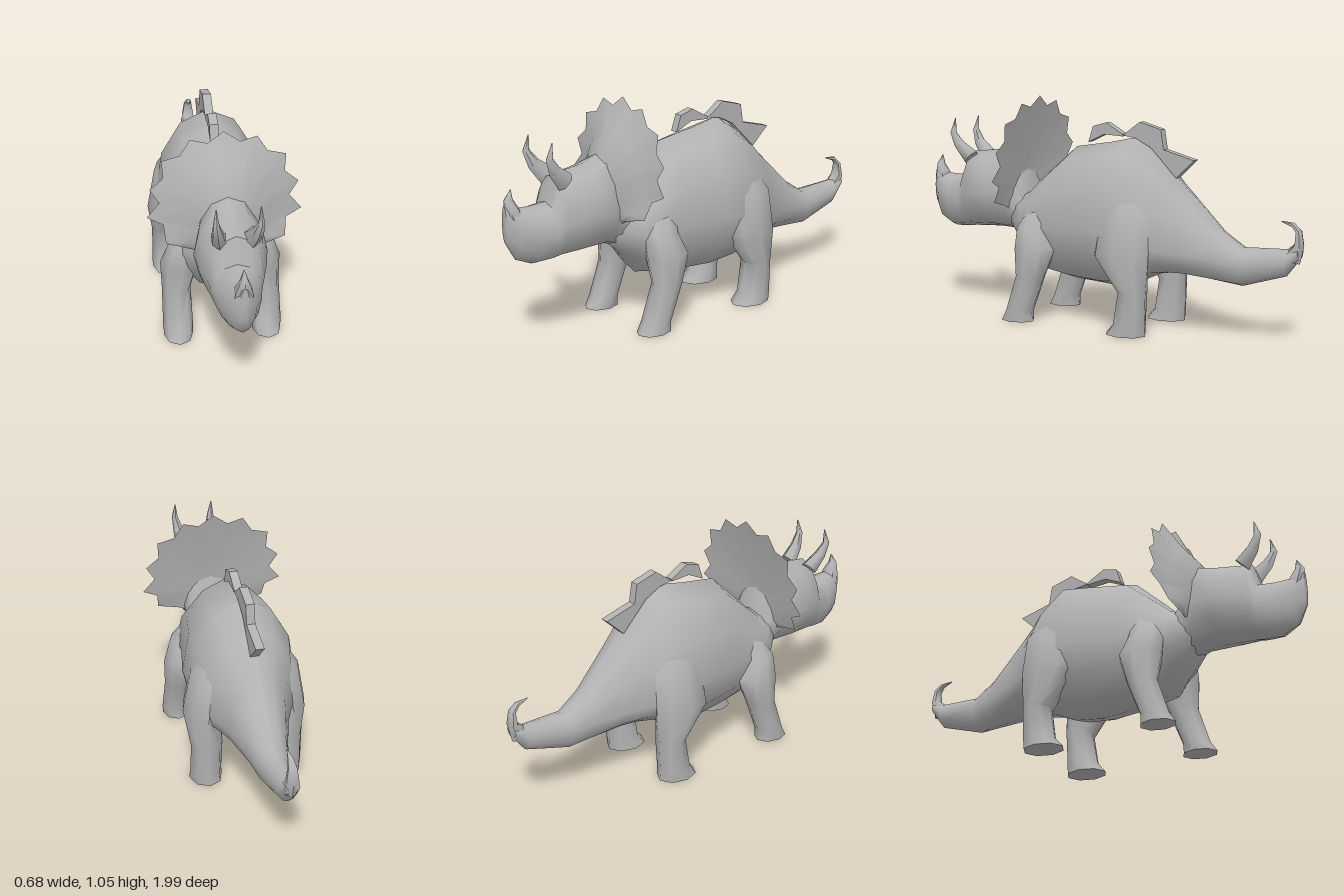
import * as THREE from 'three';
import { toCreasedNormals } from 'three/addons/utils/BufferGeometryUtils.js';

const hide = new THREE.MeshStandardMaterial({ color: 0xb2b2b2, side: THREE.DoubleSide });
hide.name = 'grey hide';

// Skin a closed surface over rings of [x, y, z] points, capping both ends
function loft(rings, crease = 1.0) {
  const n = rings[0].length, pts = rings.flat(), idx = [];
  const centre = ring => [0, 1, 2].map(k => ring.reduce((s, p) => s + p[k], 0) / n);
  const last = (rings.length - 1) * n, a = pts.length;
  pts.push(centre(rings[0]), centre(rings[rings.length - 1]));
  for (let j = 0; j < n; j++) {
    const k = (j + 1) % n;
    for (let i = 0; i < last; i += n) idx.push(i + j, i + k, i + n + j, i + k, i + n + k, i + n + j);
    idx.push(a, k, j, a + 1, last + j, last + k);
  }
  // Face outwards whichever way the rings were listed
  let volume = 0;
  const v = i => new THREE.Vector3(...pts[i]);
  for (let i = 0; i < idx.length; i += 3) volume += v(idx[i]).dot(v(idx[i + 1]).cross(v(idx[i + 2])));
  if (volume < 0) idx.reverse();
  const geo = new THREE.BufferGeometry();
  geo.setAttribute('position', new THREE.Float32BufferAttribute(pts.flat(), 3));
  geo.setIndex(idx);
  return toCreasedNormals(geo, crease);
}

const circle = (n, f) => Array.from({ length: n }, (_, i) => {
  const a = (i / n) * Math.PI * 2;
  return f(Math.sin(a), Math.cos(a));
});

// Upright section: z, bottom, top, half width, height of the widest point
const section = ([z, bottom, top, w, mid]) => circle(12, (s, c) =>
  [w * s, mid + c * (c > 0 ? top - mid : mid - bottom), z]);

// Level section for limbs: y, centre x, centre z, radius x, radius z
const limb = (side, rows) => loft(rows.map(([y, x, z, rx, rz]) =>
  circle(8, (s, c) => [side * (x + rx * s), y, z + rz * c])));

// Tapering horn: rows of x, y, z, half width, half thickness across the path
function horn(side, rows) {
  return loft(rows.map(([x, y, z, w, t], i) => {
    const p = rows[Math.max(i - 1, 0)], q = rows[Math.min(i + 1, rows.length - 1)];
    const dy = q[1] - p[1], dz = q[2] - p[2], l = Math.hypot(dy, dz);
    return circle(6, (s, c) => [side * (x + w * s), y - t * c * dz / l, z + t * c * dy / l]);
  }));
}

export function createModel() {
  const model = new THREE.Group();
  const add = (name, geo) => {
    const mesh = new THREE.Mesh(geo, hide);
    mesh.name = name;
    model.add(mesh);
  };

  // Body, running into the tail
  add('bodyAndTail', loft([
    [0.48, 0.40, 0.58, 0.10, 0.48],
    [0.38, 0.31, 0.61, 0.18, 0.45],
    [0.32, 0.22, 0.67, 0.20, 0.45],
    [0.16, 0.19, 0.82, 0.212, 0.46],
    [-0.03, 0.18, 0.85, 0.25, 0.47],
    [-0.17, 0.20, 0.88, 0.252, 0.45],
    [-0.30, 0.26, 0.785, 0.22, 0.41],
    [-0.37, 0.27, 0.715, 0.175, 0.39],
    [-0.45, 0.27, 0.64, 0.14, 0.38],
    [-0.60, 0.255, 0.49, 0.095, 0.36],
    [-0.71, 0.245, 0.42, 0.072, 0.34],
    [-0.92, 0.31, 0.43, 0.045, 0.37],
    [-0.98, 0.39, 0.44, 0.034, 0.42],
  ].map(section)));

  // Upturned tip of the tail
  add('tailHook', horn(1, [
    [0, 0.39, -0.94, 0.035, 0.045],
    [0, 0.45, -0.975, 0.032, 0.023],
    [0, 0.51, -0.972, 0.022, 0.014],
    [0, 0.538, -0.945, 0.014, 0.011],
    [0, 0.55, -0.89, 0.002, 0.002],
  ]));

  // Head with a stepped brow and a beaked snout
  add('head', loft([
    [0.40, 0.36, 0.62, 0.12, 0.48],
    [0.50, 0.40, 0.82, 0.135, 0.58],
    [0.59, 0.405, 0.785, 0.16, 0.58],
    [0.67, 0.40, 0.775, 0.145, 0.57],
    [0.755, 0.395, 0.765, 0.122, 0.56],
    [0.79, 0.39, 0.65, 0.106, 0.52],
    [0.87, 0.385, 0.645, 0.09, 0.52],
    [0.95, 0.42, 0.65, 0.058, 0.55],
    [0.995, 0.50, 0.67, 0.02, 0.58],
  ].map(section)));

  add('noseHorn', horn(1, [
    [0, 0.53, 0.93, 0.05, 0.03],
    [0, 0.635, 0.957, 0.042, 0.038],
    [0, 0.69, 0.972, 0.02, 0.022],
    [0, 0.735, 0.96, 0.002, 0.002],
  ]));

  // Frill: scalloped rim, flared front and hollow back, sweeping forward at the cheeks
  const half = [[0, 1.05], [0.07, 1.0], [0.145, 1.02], [0.19, 0.95], [0.27, 0.93], [0.265, 0.85],
    [0.325, 0.80], [0.285, 0.735], [0.34, 0.67], [0.27, 0.635], [0.262, 0.56], [0.15, 0.53], [0, 0.47]];
  const outline = [...half, ...half.slice(1, -1).reverse().map(([x, y]) => [-x, y])];
  const rim = outline.map(([x, y]) => [x, y, 0.37 + 0.1 * (1.05 - y) + 0.35 * Math.max(0, 0.66 - y)]);
  // Rings around the head, keeping to the rim's directions
  const ring = (rx, ry, z, tilt) => outline.map(([x, y]) => {
    const a = Math.atan2(x, y - 0.62);
    return [rx * Math.sin(a), 0.62 + ry * Math.cos(a), z + tilt * Math.cos(a)];
  });
  const collar = ring(0.125, 0.19, 0.50, 0.02);
  const flare = ring(0.215, 0.3, 0.437, -0.003).map((p, i) =>
    (outline[i][1] < 0.6 ? p.map((v, k) => (collar[i][k] + rim[i][k]) / 2) : p));
  add('frill', loft([collar, flare, rim, ring(0.09, 0.12, 0.445, -0.01)], 0.9));

  for (const [side, label] of [[1, 'left'], [-1, 'right']]) {
    add(label + 'BrowHorn', horn(side, [
      [0.07, 0.74, 0.73, 0.035, 0.045],
      [0.082, 0.80, 0.79, 0.026, 0.03],
      [0.092, 0.86, 0.82, 0.015, 0.018],
      [0.092, 0.93, 0.805, 0.002, 0.002],
    ]));
    // Limbs fade into the flanks at the shoulder and hip
    add(label + 'FrontLeg', limb(side, [
      [0.003, 0.205, 0.365, 0.066, 0.085],
      [0.05, 0.205, 0.352, 0.069, 0.066],
      [0.22, 0.205, 0.29, 0.066, 0.073],
      [0.35, 0.185, 0.275, 0.09, 0.105],
      [0.45, 0.165, 0.295, 0.075, 0.085],
      [0.57, 0.11, 0.25, 0.05, 0.07],
    ]));
    add(label + 'HindLeg', limb(side, [
      [0.003, 0.19, -0.22, 0.078, 0.1],
      [0.05, 0.193, -0.24, 0.074, 0.078],
      [0.20, 0.19, -0.255, 0.074, 0.066],
      [0.36, 0.2, -0.2, 0.088, 0.14],
      [0.55, 0.17, -0.205, 0.083, 0.13],
      [0.70, 0.10, -0.18, 0.05, 0.09],
    ]));
  }

  // Thin plates standing along the back, outlined as z, y
  const plates = [
    [[0.085, 0.845], [0.06, 0.92], [-0.01, 0.94], [-0.1, 0.89], [-0.1, 0.88], [0, 0.885]],
    [[-0.1, 0.885], [-0.19, 0.95], [-0.3, 0.92], [-0.315, 0.83], [-0.26, 0.83], [-0.17, 0.875]],
    [[-0.25, 0.835], [-0.315, 0.83], [-0.47, 0.79], [-0.38, 0.705]],
  ];
  for (const points of plates) {
    const shape = new THREE.Shape(points.map(([z, y]) => new THREE.Vector2(-z, y)));
    const geo = new THREE.ExtrudeGeometry(shape, { depth: 0.04, bevelEnabled: false });
    add('backPlate', geo.translate(0, 0, -0.02).rotateY(Math.PI / 2));
  }
  return model;
}
